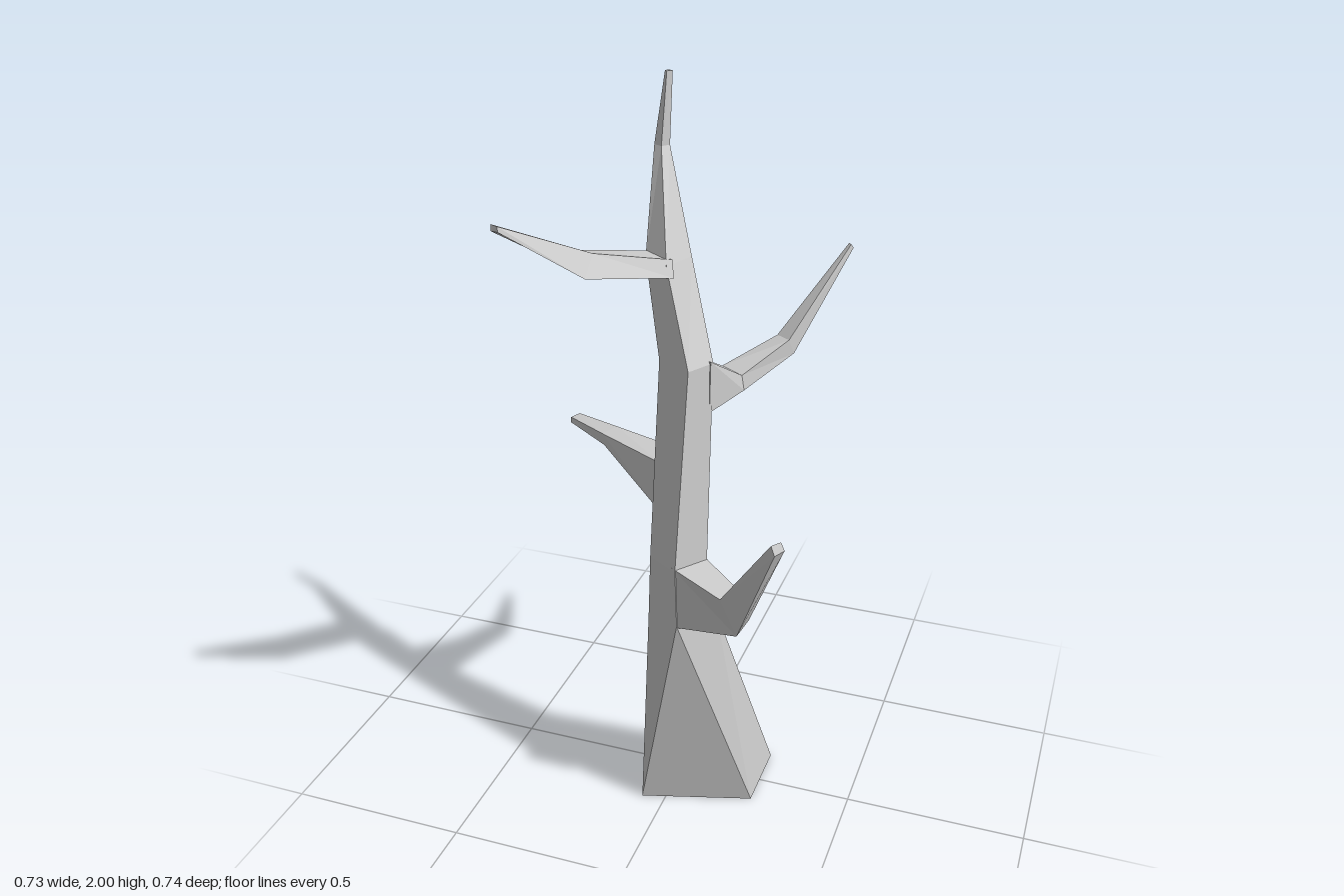
import * as THREE from 'three';

const material = new THREE.MeshStandardMaterial({ color: 0xcccccc, flatShading: true });

// Skin a chain of four-cornered rings (counter-clockwise seen from the tip) and cap both ends.
function limb(name, rings) {
  const pos = [];
  const quad = (a, b, c, d) => pos.push(...a, ...b, ...c, ...a, ...c, ...d);
  for (let r = 0; r < rings.length - 1; r++) {
    const lo = rings[r], hi = rings[r + 1];
    for (let i = 0; i < 4; i++) {
      const j = (i + 1) % 4;
      quad(lo[i], lo[j], hi[j], hi[i]);
    }
  }
  const [s, e] = [rings[0], rings[rings.length - 1]];
  quad(s[3], s[2], s[1], s[0]);
  quad(...e);
  const geometry = new THREE.BufferGeometry();
  geometry.setAttribute('position', new THREE.Float32BufferAttribute(pos, 3));
  geometry.computeVertexNormals();
  const mesh = new THREE.Mesh(geometry, material);
  mesh.name = name;
  return mesh;
}

// A branch is a limb whose root ring is pushed a little way into the trunk.
function branch(name, rings) {
  const root = rings[0].map((p, i) => p.map((v, k) => v - 0.08 * (rings[1][i][k] - v)));
  return limb(name, [root, ...rings.slice(1)]);
}

// Trunk ring: height followed by x, z of the front, right, back and left corners.
const level = (y, ...xz) => [0, 2, 4, 6].map(i => [xz[i], y, xz[i + 1]]);

export function createModel() {
  const tree = new THREE.Group();
  tree.name = 'bareTree';

  // Twisting, leaning trunk
  tree.add(limb('trunk', [
    level(0, 0.235, 0.09, 0.235, -0.12, -0.045, -0.085, -0.065, 0.18),
    level(0.63, 0.055, 0.218, 0.128, 0.107, 0.035, 0.043, -0.045, 0.16),
    level(0.79, 0.047, 0.208, 0.102, 0.108, 0.03, 0.04, -0.043, 0.15),
    level(1.33, 0.06, 0.142, 0.1, 0.065, 0.005, 0.017, -0.035, 0.09),
    level(1.57, -0.023, 0.067, 0.01, -0.03, -0.05, -0.064, -0.098, 0.012),
    level(1.82, -0.098, -0.108, -0.083, -0.13, -0.105, -0.147, -0.122, -0.122),
    level(2.0, -0.092, -0.134, -0.08, -0.144, -0.092, -0.152, -0.1, -0.143),
  ]));

  // Low branch, front right corner
  tree.add(branch('lowBranch', [
    [[0.055, 0.625, 0.216], [0.126, 0.635, 0.107], [0.102, 0.785, 0.108], [0.047, 0.795, 0.206]],
    [[0.238, 0.675, 0.275], [0.25, 0.685, 0.206], [0.23, 0.765, 0.208], [0.19, 0.772, 0.268]],
    [[0.347, 0.965, 0.332], [0.364, 0.968, 0.303], [0.354, 0.99, 0.302], [0.336, 0.99, 0.328]],
  ]));

  // Short branch, back left side
  tree.add(branch('shortBranch', [
    [[0.018, 0.93, 0.033], [-0.04, 0.93, 0.122], [-0.038, 1.055, 0.112], [0.015, 1.055, 0.03]],
    [[-0.21, 1.015, -0.045], [-0.23, 1.02, 0.0], [-0.235, 1.052, -0.002], [-0.212, 1.055, -0.052]],
    [[-0.35, 1.027, -0.115], [-0.366, 1.027, -0.09], [-0.366, 1.042, -0.092], [-0.352, 1.044, -0.12]],
  ]));

  // Long branch, back right side, with an elbow and an upswept end
  tree.add(branch('longBranch', [
    [[0.1, 1.2, 0.07], [0.015, 1.19, 0.022], [0.005, 1.33, 0.017], [0.1, 1.33, 0.065]],
    [[0.138, 1.2, -0.083], [0.075, 1.185, -0.115], [0.068, 1.25, -0.11], [0.13, 1.24, -0.087]],
    [[0.238, 1.272, -0.203], [0.198, 1.265, -0.235], [0.185, 1.31, -0.225], [0.226, 1.312, -0.193]],
    [[0.349, 1.527, -0.361], [0.34, 1.527, -0.37], [0.335, 1.537, -0.368], [0.343, 1.537, -0.358]],
  ]));

  // High branch, front left side
  tree.add(branch('highBranch', [
    [[-0.092, 1.53, 0.03], [-0.015, 1.545, 0.08], [-0.026, 1.585, 0.056], [-0.1, 1.585, 0.008]],
    [[-0.212, 1.58, 0.195], [-0.157, 1.585, 0.26], [-0.16, 1.63, 0.2], [-0.217, 1.622, 0.165]],
    [[-0.346, 1.713, 0.36], [-0.323, 1.715, 0.37], [-0.326, 1.728, 0.367], [-0.348, 1.728, 0.355]],
  ]));

  return tree;
}
